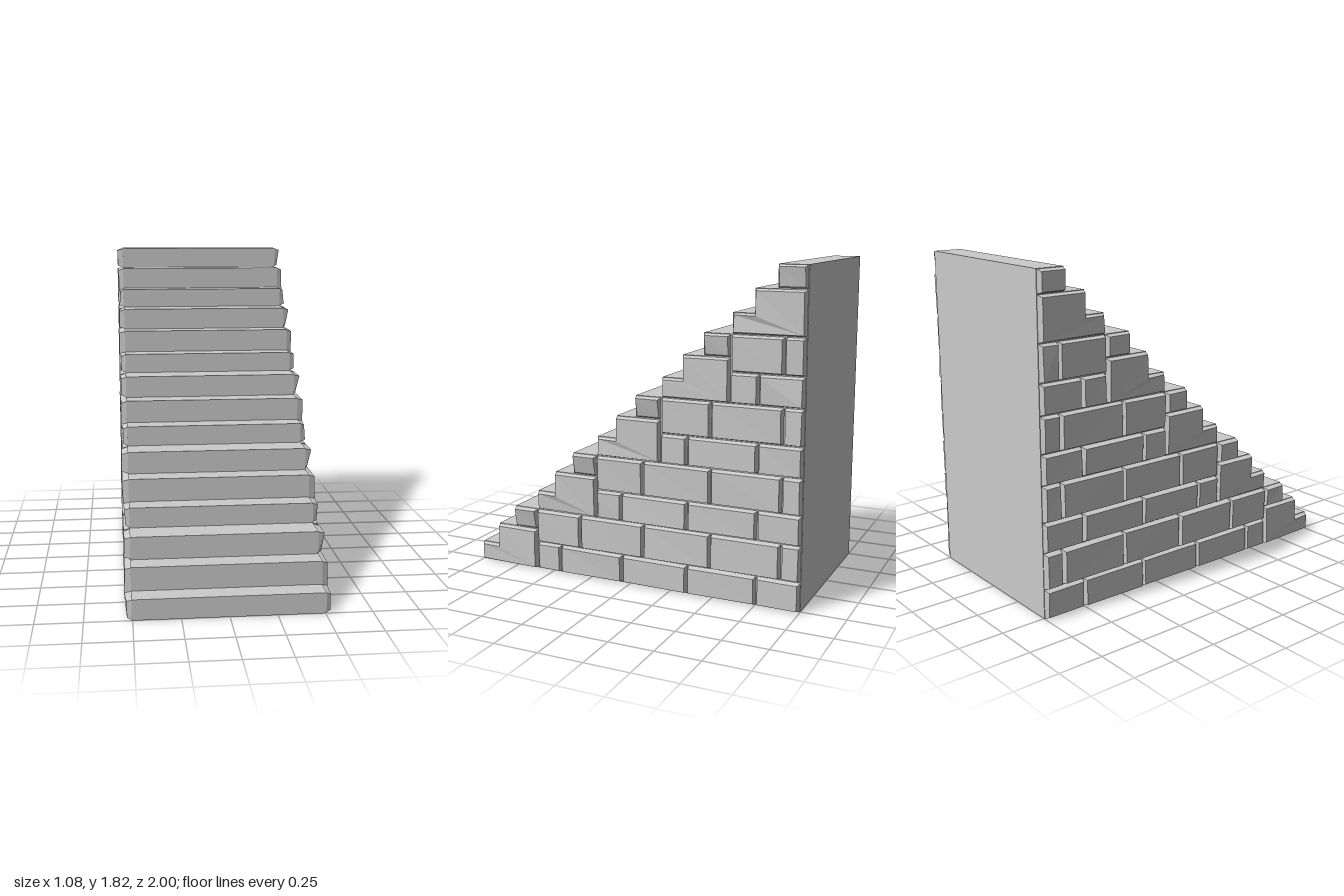
import * as THREE from 'three';

const HALF = 0.505;   // half width of the solid core
const FACE = 0.542;   // furthest reach of the side stones
const COURSE = 0.364; // height of three steps
const RUN = 0.4;      // depth of three steps

const material = new THREE.MeshStandardMaterial({ color: 0xcccccc, flatShading: true });

function seeded(seed) {
  let s = seed;
  return () => (s = (s * 16807) % 2147483647) / 2147483647;
}

// Step outline in (z, y), walked down from the top back edge
function coreShape() {
  const pts = [[-1, 0], [1, 0]];
  for (let k = 0; k < 5; k++) {
    const z = 1 - RUN * k, y = COURSE * k;
    pts.push([z, y + 0.112], [z - 0.12, y + 0.112]);
    pts.push([z - 0.12, y + 0.24], [z - 0.24, y + 0.24]);
    pts.push([z - 0.24, y + COURSE], [z - RUN, y + COURSE]);
  }
  return new THREE.Shape(pts.map(p => new THREE.Vector2(...p)));
}

// Bevelled stone: counter-clockwise (z, y) outline, tapering out to a slightly uneven face
function stone(name, side, outline, rand, lean = () => 0) {
  const n = outline.length;
  const offset = d => outline.map((p, i) => {
    const a = outline[(i + n - 1) % n], b = outline[(i + 1) % n];
    const e1 = new THREE.Vector2(p[0] - a[0], p[1] - a[1]).normalize();
    const e2 = new THREE.Vector2(b[0] - p[0], b[1] - p[1]).normalize();
    return new THREE.Vector2(p[0] - d * (e1.y + e2.y), p[1] + d * (e1.x + e2.x));
  });
  const base = offset(0.002), face = offset(0.012);
  const B = base.map(p => [side * (HALF - 0.003), p.y, p.x]);
  const F = face.map((p, i) => [side * (FACE - rand() * 0.01 - lean(i)), p.y, p.x]);
  const tris = THREE.ShapeUtils.triangulateShape(face, []).map(t => t.map(i => F[i]));
  for (let i = 0; i < n; i++) {
    const j = (i + 1) % n;
    tris.push([B[i], B[j], F[j]], [B[i], F[j], F[i]]);
  }
  const pos = [];
  for (const [a, b, c] of tris) pos.push(...a, ...(side > 0 ? c : b), ...(side > 0 ? b : c));
  const geo = new THREE.BufferGeometry();
  geo.setAttribute('position', new THREE.Float32BufferAttribute(pos, 3));
  geo.computeVertexNormals();
  const mesh = new THREE.Mesh(geo, material);
  mesh.name = name;
  return mesh;
}

const rect = (zFront, zBack, y0, y1) => [[zBack, y0], [zFront, y0], [zFront, y1], [zBack, y1]];

// One row of running-bond bricks from zStart to the back, joints every 0.4
function brickRow(group, side, zStart, firstJoint, y0, y1, rand) {
  const cuts = [zStart];
  for (let z = firstJoint; z > -0.99; z -= RUN) if (z < zStart - 0.05) cuts.push(z);
  cuts.push(-1);
  for (let i = 0; i + 1 < cuts.length; i++) {
    group.add(stone('brick', side, rect(cuts[i], cuts[i + 1], y0, y1), rand));
  }
}

function stoneSide(side) {
  const group = new THREE.Group();
  group.name = side > 0 ? 'leftStonework' : 'rightStonework';
  const rand = seeded(side > 0 ? 4711 : 977);
  for (let k = 0; k < 5; k++) {
    const z = 1 - RUN * k, y = COURSE * k, zEnd = z - RUN + (k < 4 ? 0.006 : 0);
    // Stepped stone under the first two treads
    const steps = [
      [zEnd, y], [z, y], [z, y + 0.112], [z - 0.12, y + 0.112], [z - 0.12, y + 0.24], [zEnd, y + 0.24],
    ];
    group.add(stone('steppedStone', side, steps, rand, i => (i === 1 || i === 2 ? 0.008 : 0)));
    // Small stone under the third tread, leaning in at its foot
    const cap = rect(z - 0.24, zEnd, y + 0.24, y + COURSE);
    group.add(stone('capStone', side, cap, rand, i => (side > 0 && i < 2 ? 0.018 : 0)));
    // Two rows of bricks behind the steps
    if (k < 4) {
      brickRow(group, side, zEnd - 0.004, 0.445, y, y + 0.165, rand);
      brickRow(group, side, zEnd - 0.004, 0.31, y + 0.165, y + COURSE, rand);
    }
  }
  return group;
}

export function createModel() {
  const model = new THREE.Group();
  model.name = 'stoneStaircase';

  // Solid core with fifteen treads
  const geo = new THREE.ExtrudeGeometry(coreShape(), { depth: 2 * HALF, bevelEnabled: false });
  geo.translate(0, 0, -HALF);
  geo.rotateY(-Math.PI / 2);
  const core = new THREE.Mesh(geo, material);
  core.name = 'steps';
  model.add(core);

  // Brickwork on both sides
  for (const side of [1, -1]) model.add(stoneSide(side));
  return model;
}
